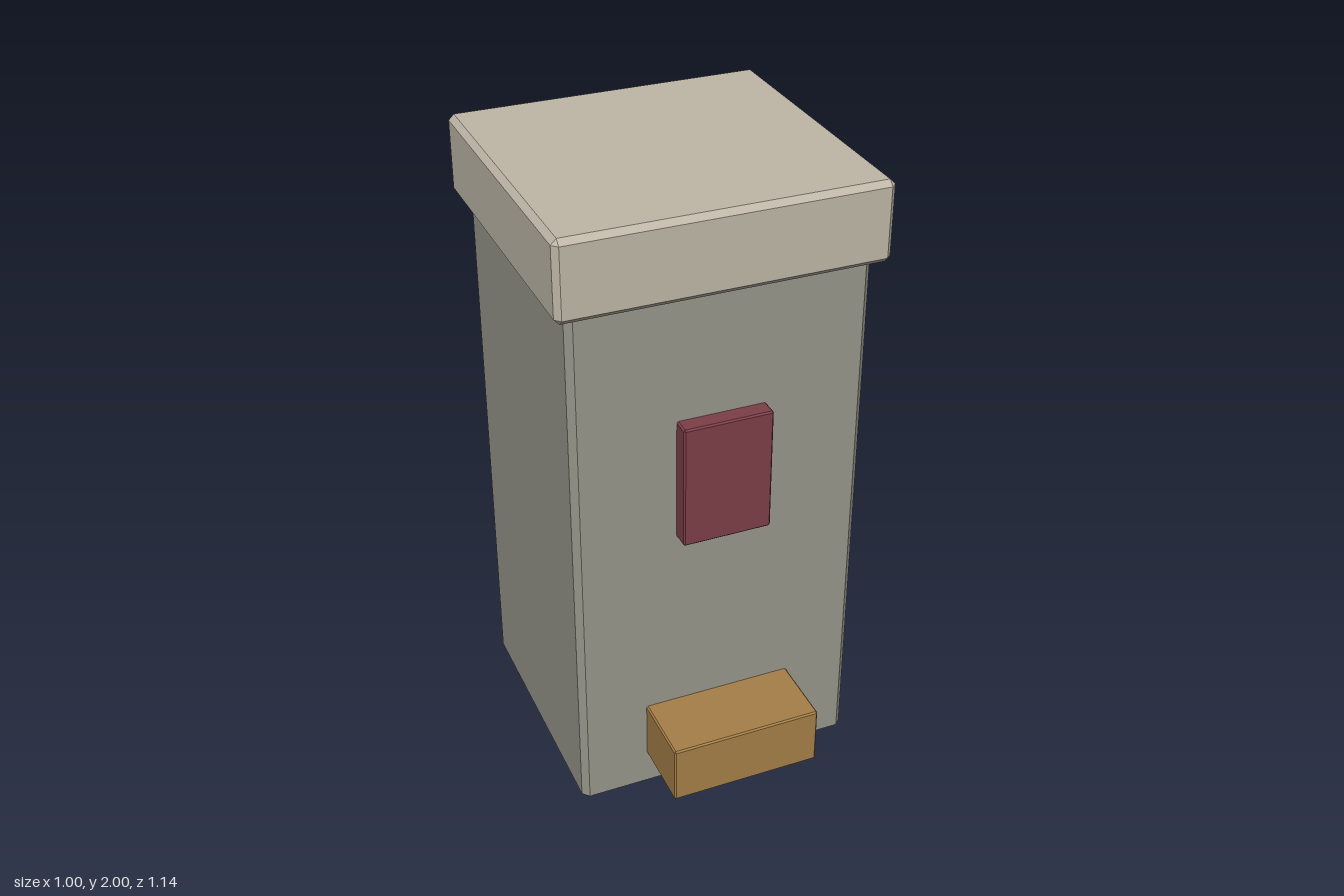
import * as THREE from 'three';
import { ConvexGeometry } from 'three/addons/geometries/ConvexGeometry.js';

function material(name, color) {
  const m = new THREE.MeshStandardMaterial({ color });
  m.name = name;
  return m;
}

// Box between two corners with every edge cut by a flat chamfer c
function chamferedBox(name, min, max, c, mat) {
  const half = max.map((v, i) => (v - min[i]) / 2);
  const points = [];
  for (const sx of [-1, 1]) for (const sy of [-1, 1]) for (const sz of [-1, 1]) {
    for (let axis = 0; axis < 3; axis++) {
      const p = half.map((h, i) => (i === axis ? h : h - c));
      points.push(new THREE.Vector3(sx * p[0], sy * p[1], sz * p[2]));
    }
  }
  const mesh = new THREE.Mesh(new ConvexGeometry(points), mat);
  mesh.position.set(...max.map((v, i) => (v + min[i]) / 2));
  mesh.name = name;
  return mesh;
}

export function createModel() {
  const stone = material('grey stone', 0x96968b);
  const paleStone = material('pale stone', 0xbfb7a7);
  const darkRed = material('dark red', 0x7e3f48);
  const ochre = material('ochre', 0xa57f47);

  const model = new THREE.Group();
  model.name = 'pillar';
  model.add(
    // Tall body and overhanging cap
    chamferedBox('body', [-0.46, 0, -0.52], [0.46, 1.78, 0.34], 0.02, stone),
    chamferedBox('cap', [-0.5, 1.75, -0.57], [0.5, 2, 0.38], 0.017, paleStone),
    // Front fittings, sunk slightly into the body
    chamferedBox('frontPanel', [-0.14, 0.955, 0.3], [0.14, 1.355, 0.395], 0.005, darkRed),
    chamferedBox('frontLedge', [-0.242, 0.135, 0.3], [0.242, 0.33, 0.57], 0.005, ochre),
  );
  return model;
}
